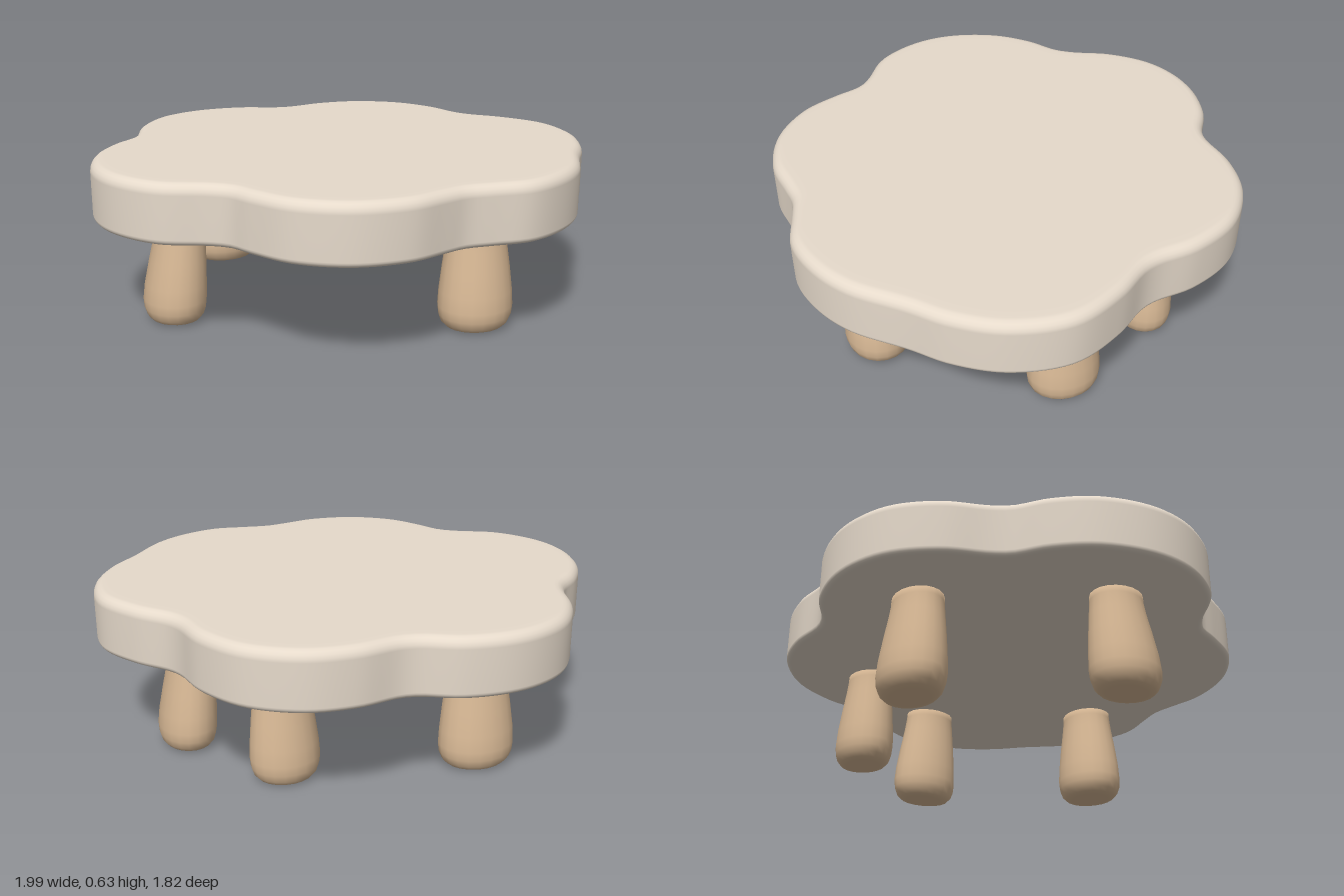
import * as THREE from 'three';

// Scalloped outline of the top as x, z pairs
const OUTLINE = [
  -0.2, -0.912, -0.03, -0.88, 0.1, -0.808, 0.165, -0.795, 0.33, -0.81, 0.51, -0.773, 0.68, -0.645,
  0.772, -0.455, 0.795, -0.295, 0.82, -0.23, 0.91, -0.105, 0.99, 0.09, 0.96, 0.315, 0.86, 0.49,
  0.75, 0.605, 0.6, 0.775, 0.455, 0.865, 0.29, 0.908, 0.14, 0.88, 0.04, 0.862, -0.05, 0.875,
  -0.2, 0.897, -0.4, 0.85, -0.56, 0.72, -0.64, 0.56, -0.675, 0.465, -0.73, 0.41, -0.88, 0.31,
  -0.98, 0.13, -0.997, -0.05, -0.935, -0.25, -0.825, -0.39, -0.715, -0.475, -0.67, -0.54,
  -0.6, -0.69, -0.48, -0.825, -0.345, -0.892,
];

// Legs: foot centre x, z; foot half widths; shift of the upper end towards the middle
const LEGS = [
  { x: -0.72, z: 0.01, rx: 0.12, rz: 0.137, dx: 0.033, dz: 0 },
  { x: -0.26, z: -0.6, rx: 0.15, rz: 0.122, dx: 0, dz: 0.015 },
  { x: 0.26, z: 0.622, rx: 0.148, rz: 0.131, dx: 0, dz: -0.006 },
  { x: 0.45, z: -0.422, rx: 0.133, rz: 0.114, dx: 0.005, dz: 0.012 },
  { x: 0.698, z: 0.012, rx: 0.113, rz: 0.142, dx: -0.03, dz: 0 },
];

// Slab with rounded rims, built from inset copies of the outline
function slabGeometry() {
  const knots = [];
  for (let i = 0; i < OUTLINE.length; i += 2) knots.push(new THREE.Vector3(OUTLINE[i], 0, OUTLINE[i + 1]));
  const curve = new THREE.CatmullRomCurve3(knots, true);
  const n = 180, y0 = 0.405, y1 = 0.63;

  // Rim profile as [inset, y] from the underside to the upper face
  const profile = [[0.06, y0]];
  const arc = (r, yc, from) => {
    for (let k = 0; k <= 5; k++) {
      const a = from + (k / 5) * Math.PI / 2;
      profile.push([r - r * Math.cos(a), yc + r * Math.sin(a)]);
    }
  };
  arc(0.022, y0 + 0.022, -Math.PI / 2);
  arc(0.042, y1 - 0.042, 0);
  profile.push([0.08, y1]);

  const pos = [], index = [];
  for (const [inset, y] of profile) {
    for (let i = 0; i < n; i++) {
      const p = curve.getPointAt(i / n), t = curve.getTangentAt(i / n);
      pos.push(p.x - t.z * inset, y, p.z + t.x * inset);
    }
  }
  const rings = profile.length;
  for (let r = 0; r < rings - 1; r++) {
    for (let i = 0; i < n; i++) {
      const a = r * n + i, b = r * n + (i + 1) % n;
      index.push(a, a + n, b, b, a + n, b + n);
    }
  }
  // Flat faces fan out from the middle
  const low = rings * n, high = low + 1, last = (rings - 1) * n;
  pos.push(0, y0, 0, 0, y1, 0);
  for (let i = 0; i < n; i++) {
    const j = (i + 1) % n;
    index.push(low, i, j, high, last + j, last + i);
  }
  const g = new THREE.BufferGeometry();
  g.setAttribute('position', new THREE.Float32BufferAttribute(pos, 3));
  g.setIndex(index);
  g.computeVertexNormals();
  return g;
}

// Chunky tapered leg with a softly rounded foot, leaning slightly inwards
function legGeometry({ rx, rz, dx, dz }) {
  const h = 0.42;
  const profile = [
    [0, 0.004], [0.6, 0.004], [0.78, 0.01], [0.9, 0.027], [0.975, 0.055], [1, 0.09],
    [0.975, 0.15], [0.9, 0.24], [0.82, 0.32], [0.77, 0.38], [0.76, h], [0, h],
  ].map(([r, y]) => new THREE.Vector2(r, y));
  const g = new THREE.LatheGeometry(profile, 20);
  g.scale(rx, 1, rz);
  const p = g.attributes.position;
  for (let i = 0; i < p.count; i++) {
    const t = THREE.MathUtils.smoothstep(p.getY(i), 0.05, h);
    p.setX(i, p.getX(i) + dx * t);
    p.setZ(i, p.getZ(i) + dz * t);
  }
  return g;
}

export function createModel() {
  const model = new THREE.Group();
  model.name = 'scallopedTable';
  const topMaterial = new THREE.MeshStandardMaterial({ color: 0xe6dacb });
  const legMaterial = new THREE.MeshStandardMaterial({ color: 0xdcbc98 });

  const top = new THREE.Mesh(slabGeometry(), topMaterial);
  top.name = 'tableTop';
  model.add(top);

  LEGS.forEach((spec, i) => {
    const leg = new THREE.Mesh(legGeometry(spec), legMaterial);
    leg.name = `leg${i + 1}`;
    leg.position.set(spec.x, 0, spec.z);
    model.add(leg);
  });
  return model;
}
